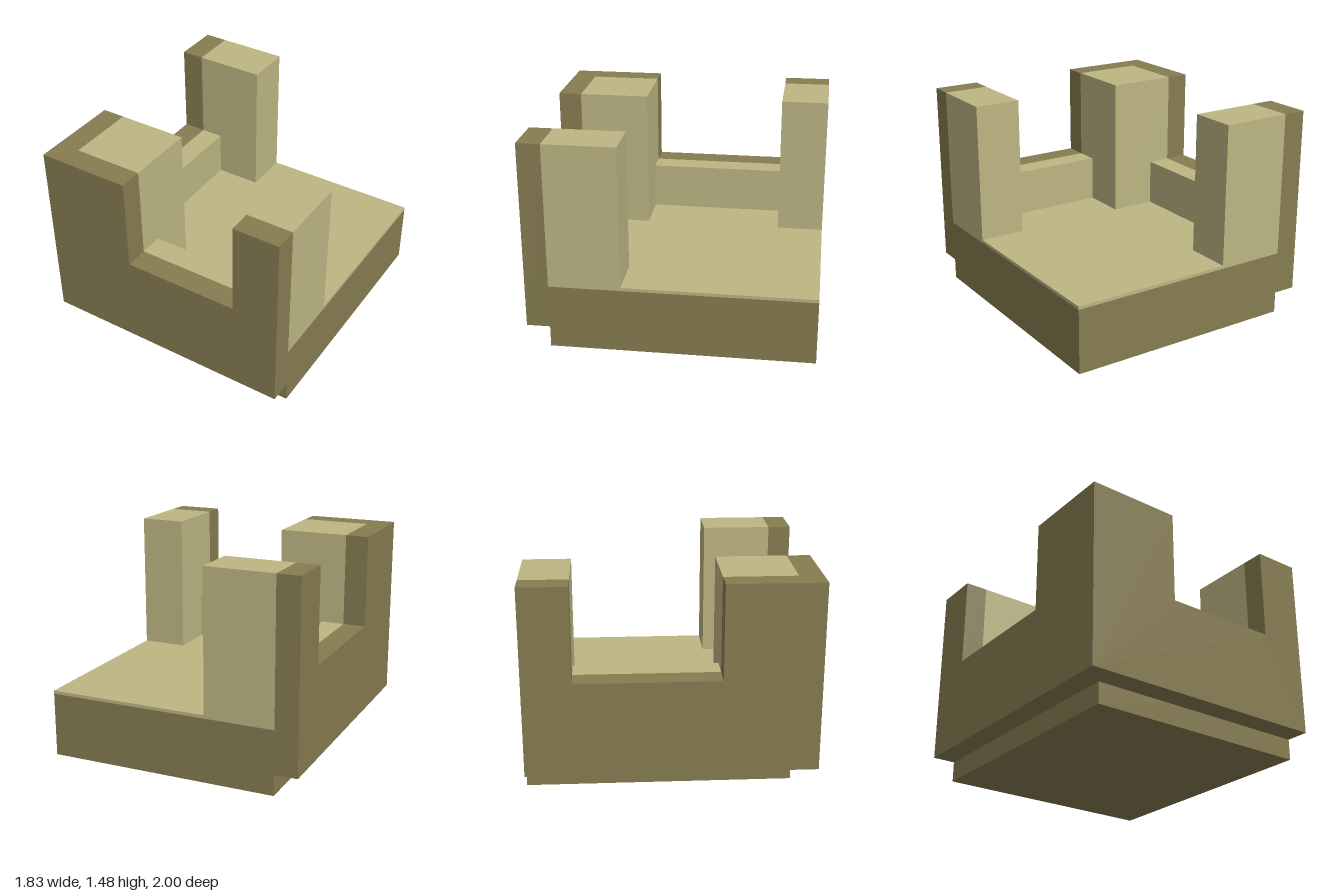
import * as THREE from 'three';

export function createModel() {
  const model = new THREE.Group();
  model.name = 'cornerRampart';

  const darkStone = new THREE.MeshStandardMaterial({ color: 0x867c51 });
  darkStone.name = 'darkStone';
  const paleStone = new THREE.MeshStandardMaterial({ color: 0xbdb583 });
  paleStone.name = 'paleStone';

  // Main limits: outer edges, skin line, and heights
  const X = 0.915, Z = 1, skinX = -0.75, skinZ = 0.835;
  const under = 0.15, baseTop = 0.457, floorTop = 0.48, low = 0.815, top = 1.48;

  // Box from its limits on each axis
  function block(name, material, [x0, x1], [y0, y1], [z0, z1]) {
    const mesh = new THREE.Mesh(new THREE.BoxGeometry(x1 - x0, y1 - y0, z1 - z0), material);
    mesh.position.set((x0 + x1) / 2, (y0 + y1) / 2, (z0 + z1) / 2);
    mesh.name = name;
    model.add(mesh);
  }

  // Outer wall panel: a U-shaped outline with a gap from g0 to g1
  function panel(name, a0, a1, g0, g1, depth) {
    const shape = new THREE.Shape([
      [a0, under], [a1, under], [a1, top], [g1, top],
      [g1, low], [g0, low], [g0, top], [a0, top],
    ].map(([a, y]) => new THREE.Vector2(a, y)));
    const geometry = new THREE.ExtrudeGeometry(shape, { depth, bevelEnabled: false });
    const mesh = new THREE.Mesh(geometry, darkStone);
    mesh.name = name;
    model.add(mesh);
    return mesh;
  }

  // Base and floor
  block('base', darkStone, [skinX, X], [0, baseTop], [-Z, skinZ]);
  block('floor', paleStone, [skinX, X], [baseTop, floorTop], [-Z, skinZ]);

  // Dark outer skin, overhanging the foot of the base
  panel('frontOuterWall', -X, X, -0.25, 0.583, Z - skinZ).position.z = skinZ;
  const side = panel('sideOuterWall', -skinZ, Z, -0.335, 0.665, skinX + X);
  side.rotation.y = Math.PI / 2; // outline now runs along -z
  side.position.x = -X;

  // Pale inner towers
  const rise = [floorTop, top];
  block('cornerTower', paleStone, [skinX, -0.25], rise, [0.335, skinZ]);
  block('frontTower', paleStone, [0.583, X], rise, [0.335, skinZ]);
  block('backTower', paleStone, [skinX, -0.25], rise, [-Z, -0.665]);

  // Pale low walls between the towers
  const step = [floorTop, low];
  block('frontLowWall', paleStone, [-0.25, 0.583], step, [0.667, skinZ]);
  block('sideLowWall', paleStone, [skinX, -0.585], step, [-0.665, 0.335]);

  return model;
}
